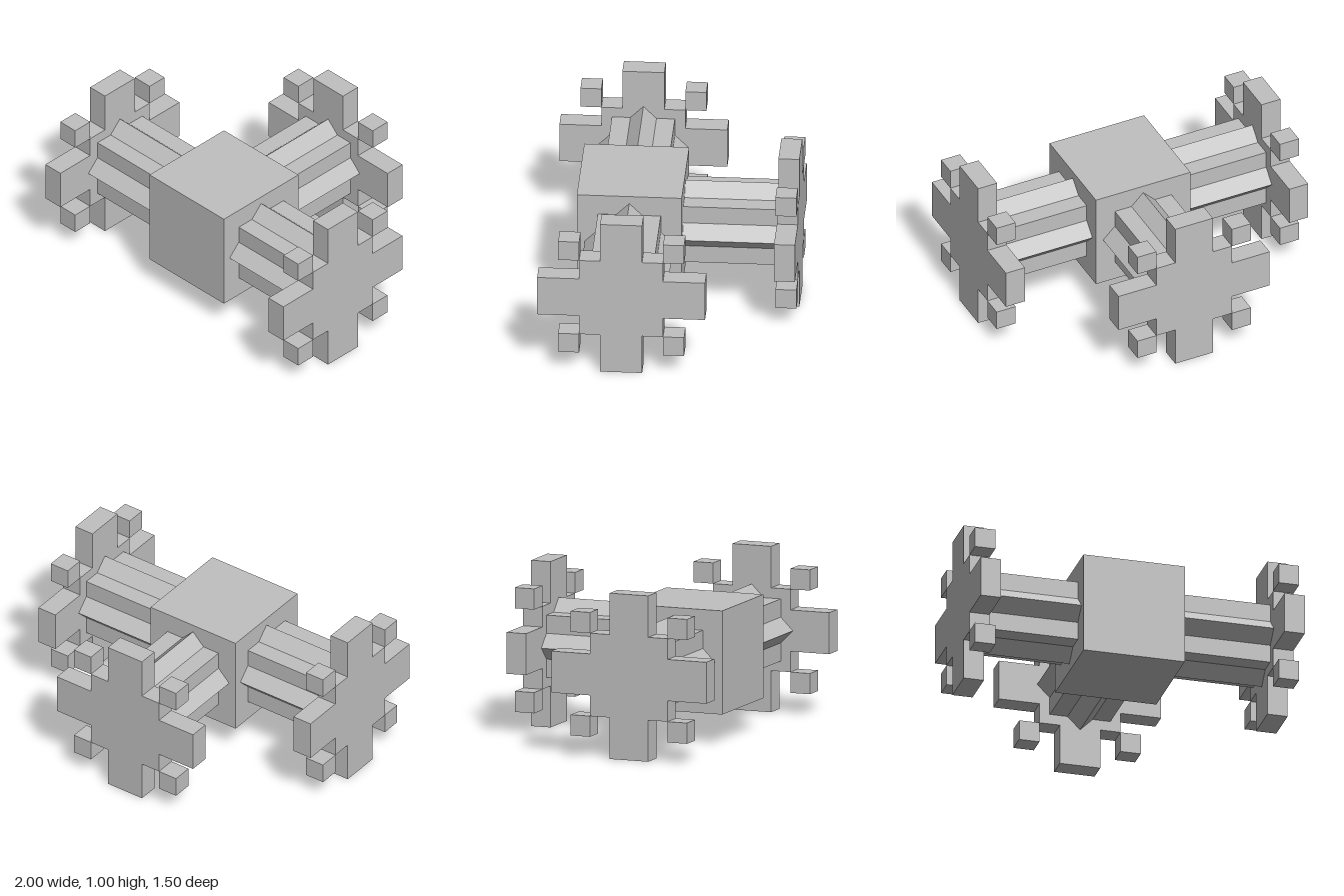
import * as THREE from 'three';

const steel = new THREE.MeshStandardMaterial({ color: 0xc0c0c0 });
steel.name = 'light grey';

const HUB = 0.3125;   // half size of the central block
const INNER = 0.875;  // inner face of each gear, measured from the block centre
const THICK = 0.125;  // gear thickness

function part(name, geometry, x = 0, y = 0, z = 0) {
  const mesh = new THREE.Mesh(geometry, steel);
  mesh.name = name;
  mesh.position.set(x, y, z);
  return mesh;
}

function extrude(points, depth) {
  return new THREE.ExtrudeGeometry(new THREE.Shape(points), { depth, bevelEnabled: false });
}

// Repeats one quarter of an outline four times around the centre
function quarterTurns(quarter) {
  const points = [];
  for (let i = 0; i < 4; i++) {
    for (const [x, y] of quarter) {
      points.push(new THREE.Vector2(x, y).rotateAround(new THREE.Vector2(), i * Math.PI / 2));
    }
  }
  return points;
}

// Eight-pointed star: two equal squares turned 45 degrees to each other
function starOutline() {
  const s = 0.1875, tip = s * Math.SQRT2, notch = tip - s;
  return quarterTurns([[tip, 0], [s, notch], [s, s], [notch, s]]);
}

// Square core with a long straight tooth on each side
function gearOutline() {
  return quarterTurns([[0.5, -0.125], [0.5, 0.125], [0.25, 0.125], [0.25, 0.25], [0.125, 0.25]]);
}

// One shaft with its gear, pointing along +z
function createArm(name) {
  const arm = new THREE.Group();
  arm.name = name;
  arm.add(part('shaft', extrude(starOutline(), INNER - HUB), 0, 0, HUB));
  arm.add(part('gear', extrude(gearOutline(), THICK), 0, 0, INNER));
  // Small diagonal teeth touching the corners of the core
  const tooth = new THREE.BoxGeometry(0.125, 0.125, THICK);
  for (const x of [-1, 1]) for (const y of [-1, 1]) {
    arm.add(part('cornerTooth', tooth, x * 0.3125, y * 0.3125, INNER + THICK / 2));
  }
  return arm;
}

export function createModel() {
  const model = new THREE.Group();
  model.name = 'gearbox';
  const assembly = new THREE.Group();
  assembly.name = 'assembly';
  assembly.position.set(0, 0.5, 0.25);
  model.add(assembly);

  assembly.add(part('housing', new THREE.BoxGeometry(2 * HUB, 2 * HUB, 2 * HUB)));

  // Arms to the left, right and back
  const arms = [['leftArm', Math.PI / 2], ['rightArm', -Math.PI / 2], ['backArm', Math.PI]];
  for (const [name, turn] of arms) {
    const arm = createArm(name);
    arm.rotation.y = turn;
    assembly.add(arm);
  }
  return model;
}
